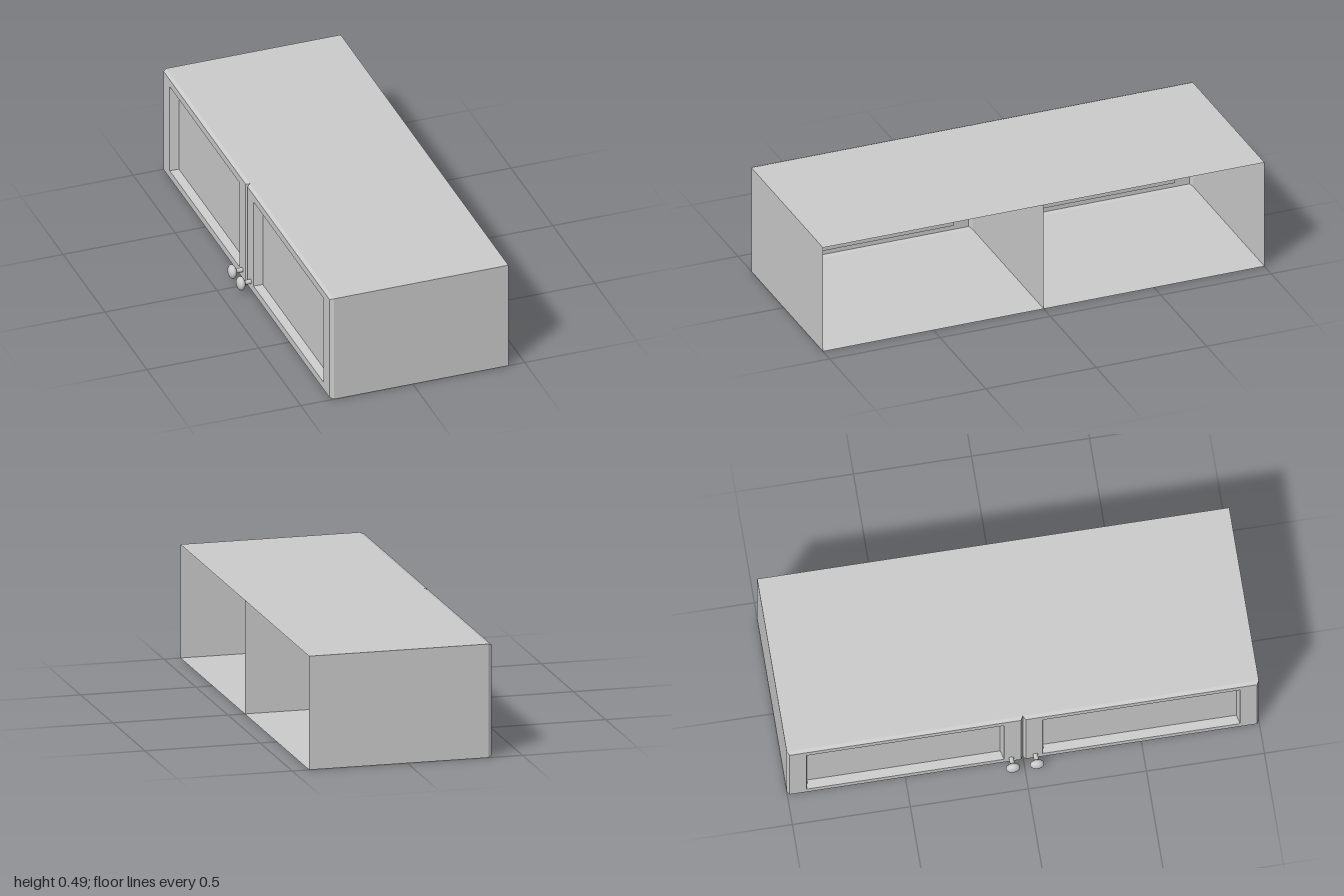
import * as THREE from 'three';

const HEIGHT = 0.49;
const FRONT = -0.368; // plane of the door faces
const BACK = 0.427; // open rear side

const shellMaterial = new THREE.MeshStandardMaterial({ color: 0xcccccc, flatShading: true, side: THREE.DoubleSide });
const knobMaterial = new THREE.MeshStandardMaterial({ color: 0xcccccc });

// Thin cabinet shell: rectangular rings from the open rear to the recessed door panel
function cabinetGeometry(z0, z1) {
  // [x, inset in y, inset in z]
  const rings = [
    [BACK, 0, 0],
    [FRONT + 0.016, 0, 0], // start of bevel
    [FRONT, 0.006, 0.01], // door frame, outer edge
    [FRONT, 0.04, 0.082], // door frame, inner edge
    [FRONT + 0.038, 0.045, 0.092], // recessed panel
  ].map(([x, dy, dz]) => [
    [x, dy, z0 + dz],
    [x, dy, z1 - dz],
    [x, HEIGHT - dy, z1 - dz],
    [x, HEIGHT - dy, z0 + dz],
  ]);

  const positions = [];
  const quad = (a, b, c, d) => positions.push(...a, ...b, ...c, ...a, ...c, ...d);
  for (let i = 0; i < rings.length - 1; i++) {
    for (let k = 0; k < 4; k++) {
      const n = (k + 1) % 4;
      quad(rings[i][k], rings[i][n], rings[i + 1][n], rings[i + 1][k]);
    }
  }
  quad(...rings[rings.length - 1]); // panel face

  const geometry = new THREE.BufferGeometry();
  geometry.setAttribute('position', new THREE.Float32BufferAttribute(positions, 3));
  geometry.computeVertexNormals();
  return geometry;
}

// Round door knob pointing along -x
function createKnob() {
  const knob = new THREE.Group();
  const stem = new THREE.Mesh(new THREE.CylinderGeometry(0.01, 0.01, 0.04, 20), knobMaterial);
  stem.name = 'knobStem';
  stem.rotation.z = Math.PI / 2;
  stem.position.x = -0.02;

  const cap = new THREE.Mesh(new THREE.SphereGeometry(0.03, 28, 18), knobMaterial);
  cap.name = 'knobCap';
  cap.scale.x = 0.6;
  cap.position.x = -0.045;

  knob.add(stem, cap);
  return knob;
}

export function createModel() {
  const model = new THREE.Group();
  model.name = 'wallCabinet';

  // Two cabinets side by side, knobs near the meeting edge
  for (const side of [-1, 1]) {
    const suffix = side > 0 ? 'Front' : 'Rear';
    const cabinet = new THREE.Mesh(
      cabinetGeometry(Math.min(0, side), Math.max(0, side)),
      shellMaterial
    );
    cabinet.name = 'cabinet' + suffix;

    const knob = createKnob();
    knob.name = 'knob' + suffix;
    knob.position.set(FRONT, 0.045, side * 0.051);
    model.add(cabinet, knob);
  }
  return model;
}
